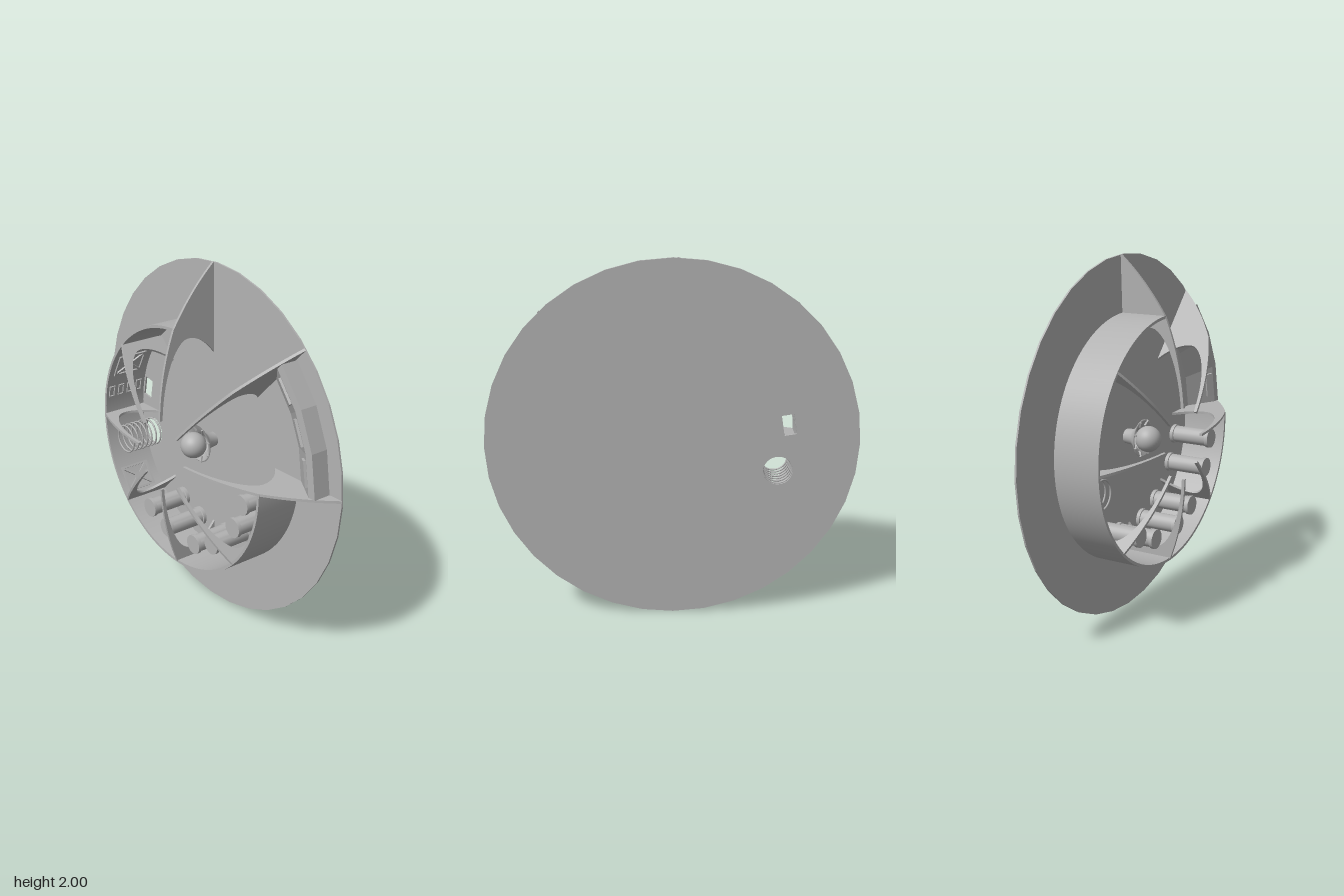
import * as THREE from 'three';
import { toCreasedNormals } from 'three/addons/utils/BufferGeometryUtils.js';

const rad = THREE.MathUtils.degToRad;

export function createModel() {
  const model = new THREE.Group();
  model.name = 'radialStation';
  const grey = new THREE.MeshStandardMaterial({ color: 0xb2b2b2 });
  grey.name = 'plain grey';
  grey.side = THREE.DoubleSide;

  // Everything is laid out on a slightly tilted floor: x, y in the plane, z is height.
  const deck = new THREE.Group();
  deck.name = 'deck';
  deck.position.set(0, 1, -0.172);
  deck.rotation.set(-0.0075, 0.03, 0);
  model.add(deck);

  const add = (name, geometry, parent = deck) => {
    const mesh = new THREE.Mesh(geometry, grey);
    mesh.name = name;
    parent.add(mesh);
    return mesh;
  };
  const polar = (r, deg) => [r * Math.cos(rad(deg)), r * Math.sin(rad(deg))];

  // Floor disc with a round and a rectangular opening
  const disc = new THREE.Shape(
    Array.from({ length: 36 }, (_, i) => new THREE.Vector2(...polar(1, i * 10)))
  );
  const roundHole = new THREE.Path();
  roundHole.absarc(-0.565, -0.155, 0.08, 0, Math.PI * 2, true);
  const hatch = [[-1, -1], [-1, 1], [1, 1], [1, -1]].map(([sx, sy]) =>
    new THREE.Vector2(sx * 0.034, sy * 0.057)
      .rotateAround(new THREE.Vector2(), rad(-9))
      .add(new THREE.Vector2(-0.618, 0.105)));
  disc.holes.push(roundHole, new THREE.Path(hatch));
  const floor = new THREE.ExtrudeGeometry(disc, { depth: 0.01, bevelEnabled: false, curveSegments: 32 });
  floor.translate(0, 0, -0.01);
  add('floorDisc', floor);

  // Three-quarter ring wall
  const ring = new THREE.Shape();
  ring.absarc(0, 0, 0.69, rad(91.7), rad(361.7), false);
  ring.absarc(0, 0, 0.675, rad(361.7), rad(91.7), true);
  add('ringWall', toCreasedNormals(
    new THREE.ExtrudeGeometry(ring, { depth: 0.265, bevelEnabled: false, curveSegments: 54 }), 0.5));

  // Curved ribs: three run out to the rim, five stop at the wall
  const ribGeometry = (large) => {
    const s = new THREE.Shape();
    s.moveTo(0.51, 0);
    s.bezierCurveTo(0.57, 0.04, 0.64, 0.13, 0.615, 0.2);
    s.bezierCurveTo(0.57, 0.28, 0.4, 0.34, 0.2, 0.35);
    s.lineTo(0.2, 0.367);
    s.quadraticCurveTo(0.46, 0.355, 0.685, 0.265);
    if (large) s.quadraticCurveTo(0.87, 0.15, 1, 0);
    else s.lineTo(0.685, 0);
    s.closePath();
    const g = new THREE.ExtrudeGeometry(s, { depth: 0.014, bevelEnabled: false, curveSegments: 12 });
    g.translate(0, 0, -0.007);
    g.rotateX(Math.PI / 2);
    return toCreasedNormals(g, 0.5);
  };
  const largeRib = ribGeometry(true), smallRib = ribGeometry(false);
  for (let i = 0; i < 8; i++) {
    const large = i < 3;
    add(large ? 'largeRib' : 'smallRib', large ? largeRib : smallRib).rotation.z = rad(i * 45 + 1.7);
  }

  // Central globe in a flared cup
  add('globe', new THREE.SphereGeometry(0.072, 32, 20)).position.z = 0.14;
  const cup = [[0.04, 0], [0.045, 0.05], [0.075, 0.085], [0.105, 0.105], [0.098, 0.11], [0.06, 0.085]];
  const cupGeometry = new THREE.LatheGeometry(cup.map(p => new THREE.Vector2(...p)), 32);
  cupGeometry.rotateX(Math.PI / 2);
  add('globeCup', cupGeometry);
  for (let i = 0; i < 8; i++) {
    const prong = new THREE.BoxGeometry(0.035, 0.006, 0.012);
    prong.rotateY(-0.4);
    prong.translate(0.088, 0, 0.108);
    add('cupProng', prong).rotation.z = rad(i * 45 + 22);
  }

  // Capped canisters standing around the lower wall
  const can = [[0, 0], [0.055, 0], [0.055, 0.02], [0.049, 0.022], [0.049, 0.228],
    [0.055, 0.23], [0.055, 0.25], [0, 0.25]];
  const canGeometry = new THREE.LatheGeometry(can.map(p => new THREE.Vector2(...p)), 28);
  canGeometry.rotateX(Math.PI / 2);
  const canCreased = toCreasedNormals(canGeometry, 0.6);
  const spots = [[-0.265, -0.47], [-0.105, -0.53], [0.145, -0.523], [0.3, -0.452], [0.475, -0.268], [0.535, -0.108]];
  for (const [x, y] of spots) add('canister', canCreased).position.set(x, y, 0);

  // Stack of rings over the round opening
  const coil = new THREE.TorusGeometry(0.08, 0.005, 8, 36);
  for (let i = 0; i < 7; i++) add('coilRing', coil).position.set(-0.565, -0.155, 0.01 + i * 0.032);

  // Faceted sloping console between the two large ribs on the left
  const profile = [[0.71, 0], [0.87, 0.1], [0.915, 0.1], [0.915, 0]];
  const stations = [2, 17, 31, 46];
  const points = [], faces = [];
  for (const a of stations) for (const [r, h] of profile) points.push(...polar(r, a), h);
  for (let i = 0; i < 3; i++) {
    for (let j = 0; j < 4; j++) {
      const k = (j + 1) % 4;
      const a = i * 4 + j, b = i * 4 + k, c = b + 4, d = a + 4;
      faces.push(a, b, c, a, c, d);
    }
  }
  const indexed = new THREE.BufferGeometry();
  indexed.setAttribute('position', new THREE.Float32BufferAttribute(points, 3));
  indexed.setIndex(faces);
  const consoleGeometry = indexed.toNonIndexed();
  consoleGeometry.computeVertexNormals();
  add('console', consoleGeometry);
  for (const a of [10, 24, 38.5]) {
    const screen = new THREE.BoxGeometry(0.045, 0.14, 0.022);
    screen.rotateY(rad(-32));
    screen.translate(0.835, 0, 0.085);
    add('consoleScreen', screen).rotation.z = rad(a);
  }

  // Details on the inside of the wall: x is along the wall, y is height
  const wallGroup = (name, deg, height, r = 0.668) => {
    const pivot = new THREE.Group();
    pivot.name = name;
    pivot.position.set(...polar(r, deg), height);
    pivot.rotation.set(Math.PI / 2, rad(deg - 90), 0, 'ZXY');
    pivot.quaternion.setFromRotationMatrix(new THREE.Matrix4().makeBasis(
      new THREE.Vector3(...polar(1, deg + 90), 0),
      new THREE.Vector3(0, 0, 1),
      new THREE.Vector3(...polar(1, deg), 0)));
    deck.add(pivot);
    return pivot;
  };
  const bar = (parent, name, w, h, x, y, turn = 0) => {
    const mesh = add(name, new THREE.BoxGeometry(w, h, 0.009), parent);
    mesh.position.set(x, y, 0);
    mesh.rotation.z = turn;
  };

  // Row of four framed slots
  for (let i = 0; i < 4; i++) {
    const slot = wallGroup('wallSlot', 169.5, 0.045 + i * 0.062);
    for (const s of [-1, 1]) {
      bar(slot, 'slotSide', 0.065, 0.006, 0, s * 0.016);
      bar(slot, 'slotEnd', 0.006, 0.038, s * 0.031, 0);
    }
  }

  // Two cross-braced panels
  for (const deg of [153.5, 217]) {
    const panel = wallGroup('bracedPanel', deg, 0.145, 0.663);
    for (const s of [-1, 1]) {
      bar(panel, 'panelRail', 0.15, 0.012, 0, s * 0.085);
      bar(panel, 'panelPost', 0.012, 0.18, s * 0.069, 0);
      bar(panel, 'panelBrace', 0.21, 0.012, 0, 0, s * Math.atan2(0.17, 0.138));
    }
    bar(panel, 'panelHub', 0.04, 0.04, 0, 0);
  }

  return model;
}
